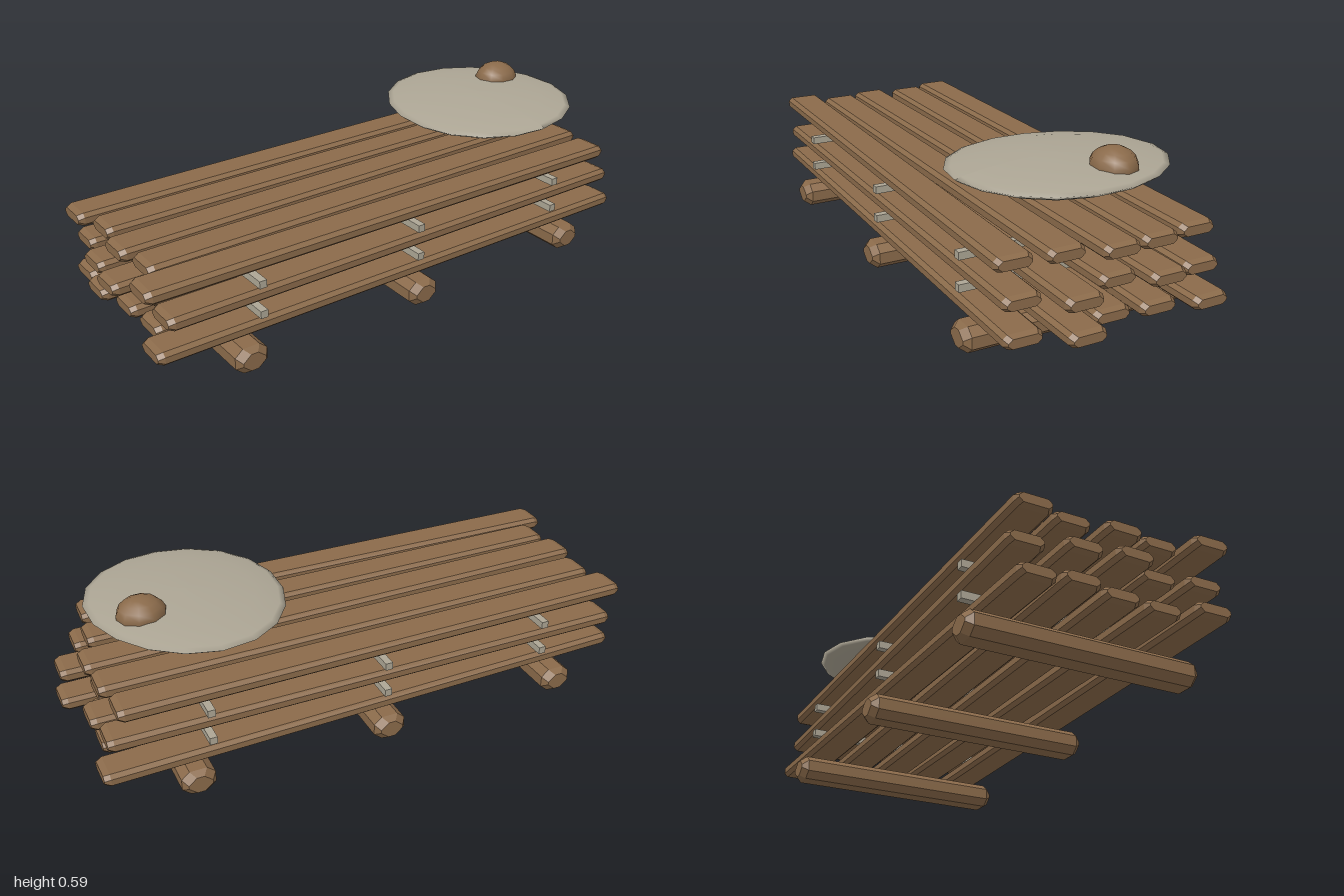
import * as THREE from 'three';
import { ConvexGeometry } from 'three/addons/geometries/ConvexGeometry.js';

const wood = new THREE.MeshStandardMaterial({ color: 0x8a6a4a });
wood.name = 'brown wood';
const pale = new THREE.MeshStandardMaterial({ color: 0xaca594 });
pale.name = 'pale grey';

// Beam along x with bevelled long edges and bevelled ends
function beam(length, height, width, bevelY, bevelZ, endBevel) {
  const points = [];
  const ring = (x, h, w) => {
    for (const sy of [-1, 1]) for (const sz of [-1, 1]) {
      points.push(new THREE.Vector3(x, sy * h, sz * (w - bevelZ)));
      points.push(new THREE.Vector3(x, sy * (h - bevelY), sz * w));
    }
  };
  for (const s of [-1, 1]) {
    ring(s * (length / 2 - endBevel), height / 2, width / 2);
    ring(s * length / 2, height / 2 - bevelY * 0.6, width / 2 - bevelZ * 0.6);
  }
  return new ConvexGeometry(points);
}

function add(group, name, geometry, material, x, y, z) {
  const mesh = new THREE.Mesh(geometry, material);
  mesh.name = name;
  mesh.position.set(x, y, z);
  group.add(mesh);
  return mesh;
}

// Each plank: left end, right end, z centre, z drift from left end to right end
const layers = [
  { y: 0.125, planks: [
    [-0.94, 0.97, -0.298, -0.028], [-0.96, 0.93, -0.15, 0.006], [-0.93, 0.91, 0.002, 0.008],
    [-0.92, 0.995, 0.148, -0.008], [-0.98, 0.92, 0.3, 0.025]] },
  { y: 0.232, planks: [
    [-0.92, 0.94, -0.298, 0.018], [-0.965, 0.96, -0.15, -0.014], [-0.99, 0.9, -0.002, -0.03],
    [-0.91, 0.985, 0.15, 0.006], [-0.94, 0.9, 0.3, 0.014]] },
  { y: 0.338, planks: [
    [-0.955, 0.9, -0.297, 0], [-0.92, 0.92, -0.15, 0.004], [-0.95, 0.93, 0, -0.015],
    [-0.925, 0.88, 0.15, 0], [-1.0, 0.86, 0.298, 0.03]] },
];

// Shallow stone-like disc with a slightly uneven rim
function discGeometry() {
  const profile = [[0, -0.052], [0.45, -0.049], [0.8, -0.032], [0.96, -0.01], [1, 0],
    [0.94, 0.008], [0.7, 0.021], [0.35, 0.03], [0, 0.032]];
  const g = new THREE.LatheGeometry(profile.map(([r, y]) => new THREE.Vector2(r, y)), 18);
  const p = g.attributes.position;
  for (let i = 0; i < p.count; i++) {
    const x = p.getX(i), z = p.getZ(i), a = Math.atan2(z, x);
    const k = 1 + 0.015 * Math.sin(3 * a + 0.5) * Math.hypot(x, z);
    p.setXYZ(i, x * 0.33 * k, p.getY(i) + 0.012 * x - 0.002 * z, z * 0.36 * k);
  }
  g.computeVertexNormals();
  return g;
}

export function createModel() {
  const model = new THREE.Group();
  model.name = 'plankStack';

  // Three heavy bearers on the ground
  for (const x of [-0.69, -0.01, 0.675]) {
    const bearer = add(model, 'bearer', beam(0.81, 0.088, 0.115, 0.024, 0.028, 0.022), wood, x, 0.044, 0);
    bearer.rotation.y = Math.PI / 2;
  }

  // Three layers of loose planks
  layers.forEach(({ y, planks }, i) => {
    const layer = new THREE.Group();
    layer.name = 'plankLayer' + (i + 1);
    model.add(layer);
    for (const [x0, x1, z, drift] of planks) {
      const plank = add(layer, 'plank', beam(x1 - x0, 0.046, 0.126, 0.012, 0.014, 0.02), wood, (x0 + x1) / 2, y, z);
      plank.rotation.y = -drift / (x1 - x0);
    }
  });

  // Thin spacer sticks between the layers
  const stick = new THREE.BoxGeometry(0.026, 0.026, 0.745);
  for (const y of [0.175, 0.281]) for (const x of [-0.63, -0.01, 0.613]) {
    add(model, 'spacerStick', stick, pale, x, y, 0);
  }

  // Disc with its domed knob
  add(model, 'disc', discGeometry(), pale, 0.56, 0.498, -0.005);
  const knob = add(model, 'knob', new THREE.SphereGeometry(1, 10, 5, 0, Math.PI * 2, 0, Math.PI * 0.56),
    wood, 0.735, 0.525, -0.093);
  knob.scale.set(0.083, 0.062, 0.075);
  return model;
}
